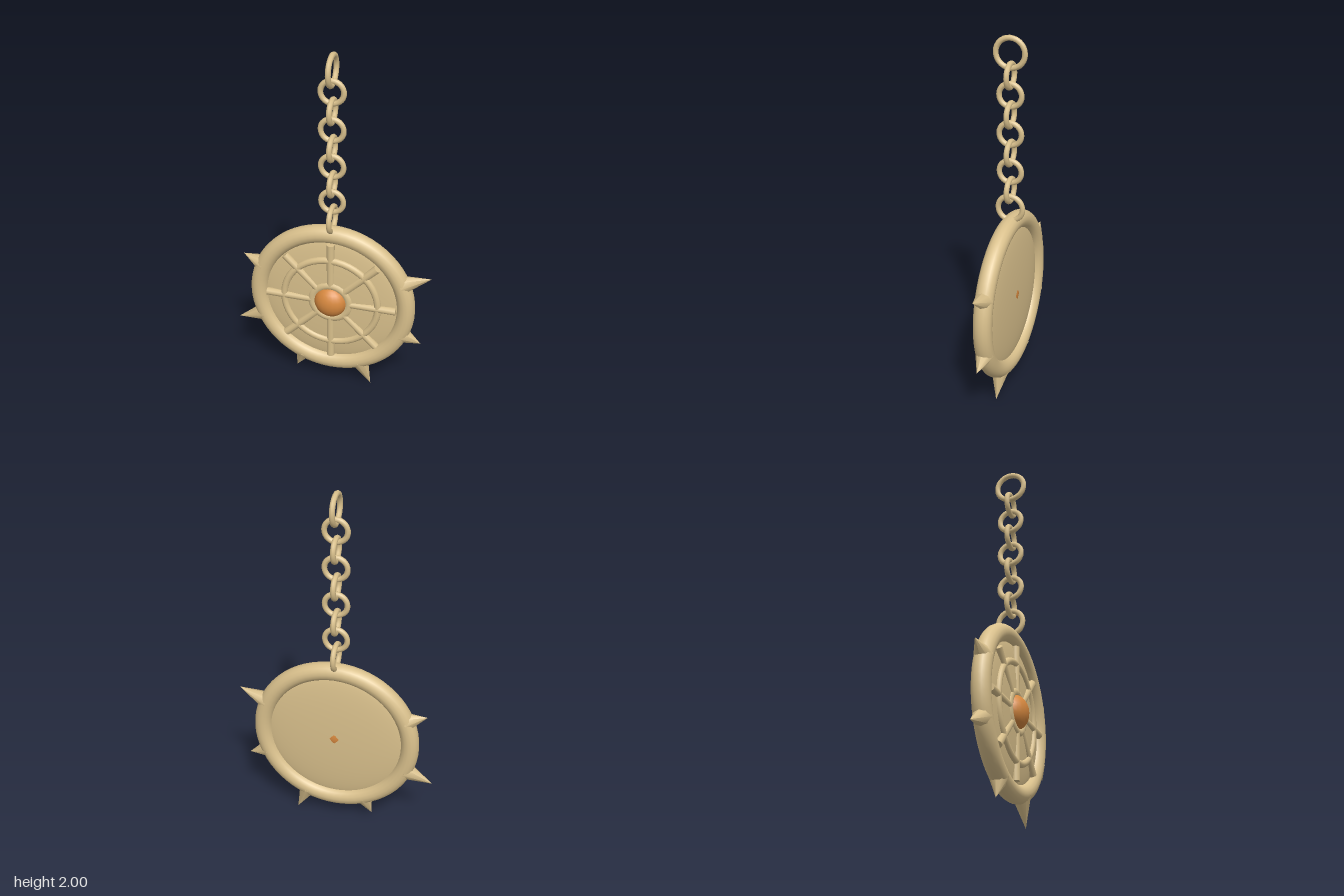
import * as THREE from 'three';

export function createModel() {
  const bone = new THREE.MeshStandardMaterial({ color: 0xd9c08c });
  bone.name = 'bone tan';
  const amber = new THREE.MeshStandardMaterial({ color: 0xd6883f });
  amber.name = 'amber orange';

  const model = new THREE.Group();
  model.name = 'spikedPendant';
  model.position.z = -0.003;

  const add = (parent, name, geometry, material = bone) => {
    const mesh = new THREE.Mesh(geometry, material);
    mesh.name = name;
    parent.add(mesh);
    return mesh;
  };

  // Round medallion
  const disc = new THREE.Group();
  disc.name = 'medallion';
  disc.position.y = 0.551;
  model.add(disc);

  add(disc, 'rim', new THREE.TorusGeometry(0.416, 0.05, 16, 64));

  // Shallow domed plate, bulging to both sides
  const plate = new THREE.SphereGeometry(0.4, 48, 24);
  plate.rotateX(Math.PI / 2);
  plate.scale(1, 1, 0.042 / 0.4);
  add(disc, 'domedPlate', plate);

  add(disc, 'innerRing', new THREE.TorusGeometry(0.265, 0.02, 10, 48)).position.z = 0.029;
  add(disc, 'hubCollar', new THREE.TorusGeometry(0.104, 0.028, 12, 40)).position.z = 0.022;

  // Gem, whose tip just shows through the back of the plate
  const gem = new THREE.SphereGeometry(0.0926, 20, 12);
  gem.scale(1, 1, 0.07 / 0.0926);
  add(disc, 'gem', gem, amber).position.z = 0.025;

  // Eight spokes
  for (let i = 0; i < 8; i++) {
    const spoke = new THREE.CylinderGeometry(0.022, 0.022, 0.265, 10);
    spoke.translate(0, 0.2325, 0.028);
    spoke.rotateZ((i * Math.PI) / 4);
    add(disc, 'spoke', spoke);
  }

  // Six spikes, alternately long and short, leaving the top free for the chain
  for (let i = 0; i < 6; i++) {
    const tip = i % 2 ? 0.593 : 0.546;
    const base = 0.425;
    const spike = new THREE.ConeGeometry(0.052, tip - base, 8);
    spike.translate(0, (tip + base) / 2, 0);
    spike.rotateZ(THREE.MathUtils.degToRad(67.5 + 45 * i));
    add(disc, 'spike', spike);
  }

  // Chain: links turned alternately, with larger ones at both ends
  const chain = new THREE.Group();
  chain.name = 'chain';
  model.add(chain);
  for (let i = 0; i < 9; i++) {
    const radius = i === 0 ? 0.068 : i === 8 ? 0.0775 : 0.061;
    const y = i === 8 ? 1.9075 : 1.063 + i * 0.104;
    const name = i === 0 ? 'bottomLoop' : i === 8 ? 'topRing' : 'chainLink';
    const link = add(chain, name, new THREE.TorusGeometry(radius, 0.015, 8, 28));
    link.position.y = y;
    if (i % 2 === 0) link.rotation.y = Math.PI / 2;
  }

  return model;
}
